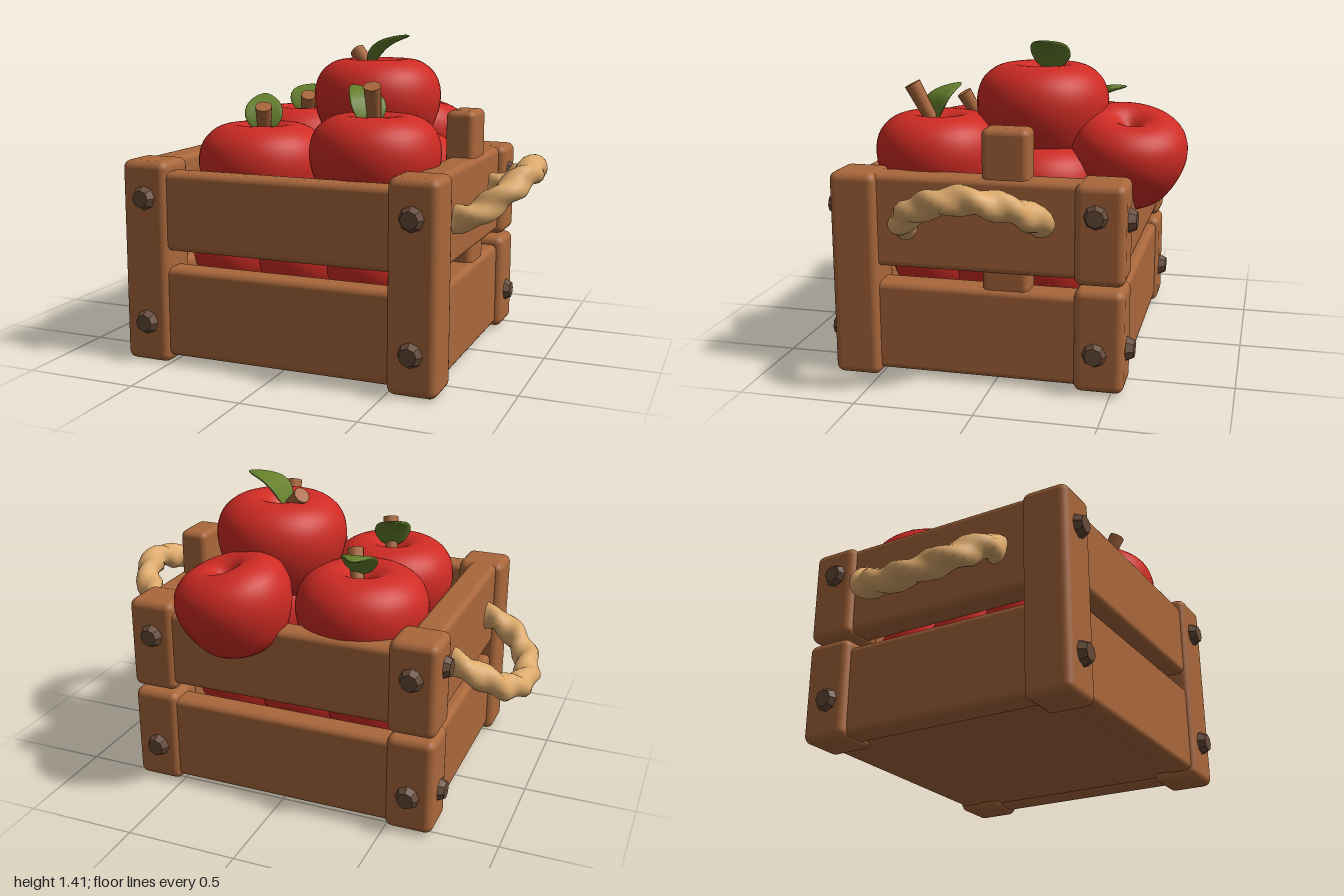
import * as THREE from 'three';
import { RoundedBoxGeometry } from 'three/addons/geometries/RoundedBoxGeometry.js';
import { mergeVertices } from 'three/addons/utils/BufferGeometryUtils.js';

const V = (a) => new THREE.Vector3(...a);
const material = (name, color) => {
  const m = new THREE.MeshStandardMaterial({ color });
  m.name = name;
  return m;
};

export function createModel() {
  const wood = material('wood', 0xa9673b);
  const red = material('apple red', 0xcf2b24);
  const green = material('leaf green', 0x657f2c);
  const hemp = material('rope tan', 0xdca96b);
  const iron = material('bolt brown', 0x664a38);

  const model = new THREE.Group();
  model.name = 'appleCrate';
  const add = (name, geometry, mat, parent = model) => {
    const mesh = new THREE.Mesh(geometry, mat);
    mesh.name = name;
    parent.add(mesh);
    return mesh;
  };

  // Rounded wooden block given by its limits on each axis
  const block = (name, x0, x1, y0, y1, z0, z1, r = 0.028) => {
    const g = new RoundedBoxGeometry(x1 - x0, y1 - y0, z1 - z0, 3, r);
    g.translate((x0 + x1) / 2, (y0 + y1) / 2, (z0 + z1) / 2);
    return add(name, g, wood);
  };

  // Faceted bolt head pointing along a direction
  const boltShape = new THREE.CylinderGeometry(0.038, 0.06, 0.045, 8).toNonIndexed();
  boltShape.computeVertexNormals();
  const bolt = (x, y, z, dir) => {
    const m = add('bolt', boltShape, iron);
    m.position.set(x, y, z);
    m.quaternion.setFromUnitVectors(V([0, 1, 0]), V(dir));
  };

  // Corner posts: whole at the front, split in two at the back
  for (const s of [-1, 1]) {
    const [a, b] = s < 0 ? [-0.715, -0.5] : [0.5, 0.715];
    block('frontPost', a, b, 0, 0.89, 0.495, 0.7, 0.035);
    block('backPostLower', a, b, 0.01, 0.452, -0.555, -0.345, 0.035);
    block('backPostUpper', a, b, 0.468, 0.89, -0.555, -0.345, 0.035);
    for (const y of [0.18, 0.73]) {
      bolt(s * 0.605, y, 0.71, [0, 0, 1]);
      bolt(s * 0.605, y, -0.565, [0, 0, -1]);
      bolt(s * 0.72, y === 0.18 ? y : 0.76, -0.435, [s, 0, 0]);
    }
    // Side boards
    const [c, d] = s < 0 ? [-0.685, -0.55] : [0.55, 0.685];
    block('sideBoardLower', c, d, 0.025, 0.415, -0.5, 0.65);
    block('sideBoardUpper', c, d, 0.485, 0.885, -0.5, 0.65);
  }

  // Front and back boards, floor and the upright batten
  for (const [name, z0, z1] of [['front', 0.56, 0.68], ['back', -0.54, -0.42]]) {
    block(name + 'BoardLower', -0.64, 0.64, 0.03, 0.425, z0, z1);
    block(name + 'BoardUpper', -0.64, 0.64, 0.5, 0.845, z0, z1);
  }
  block('floor', -0.62, 0.62, 0.035, 0.11, -0.48, 0.62, 0.02);
  block('batten', 0.54, 0.67, 0.1, 1.09, -0.15, 0.05);

  // Apple body turned from a smooth profile of unit radius
  const profile = new THREE.SplineCurve([
    [0, -0.78], [0.3, -0.86], [0.68, -0.66], [0.92, -0.24], [1, 0.14], [0.92, 0.46],
    [0.7, 0.66], [0.43, 0.71], [0.22, 0.62], [0.08, 0.48], [0, 0.44],
  ].map((p) => new THREE.Vector2(...p))).getPoints(36);
  profile[0].x = profile[36].x = 0;
  const appleShape = new THREE.LatheGeometry(profile.map((p) => new THREE.Vector2(Math.max(0, p.x), p.y)), 40);

  const apple = (name, x, y, z, r, tilt = [0, 0]) => {
    const m = add(name, appleShape, red);
    m.position.set(x, y, z);
    m.scale.setScalar(r);
    m.rotation.set(tilt[0], 0, tilt[1]);
  };

  // Stem that widens toward its tip
  const stem = (base, tip) => {
    const a = V(base), b = V(tip), d = b.clone().sub(a);
    const m = add('stem', new THREE.CylinderGeometry(0.037, 0.027, d.length(), 12), wood);
    m.position.copy(a).add(b).multiplyScalar(0.5);
    m.quaternion.setFromUnitVectors(V([0, 1, 0]), d.normalize());
  };

  // Leaf: flattened ball, pointed at the tip, arched and cupped
  const leaf = (base, tip, width) => {
    const a = V(base), along = V(tip).sub(a), len = along.length();
    const g = new THREE.SphereGeometry(1, 24, 16);
    const p = g.attributes.position;
    for (let i = 0; i < p.count; i++) {
      const t = (p.getX(i) + 1) / 2;
      const w = p.getZ(i) * (1.25 - 0.75 * t);
      const arch = 0.035 * Math.sin(Math.PI * t) + 0.02 * w * w;
      p.setXYZ(i, t * len, p.getY(i) * 0.016 + arch, w * width / 2);
    }
    g.computeVertexNormals();
    const m = add('leaf', g, green);
    const ax = along.normalize();
    const side = new THREE.Vector3().crossVectors(ax, V([0, 1, 0])).normalize();
    const up = new THREE.Vector3().crossVectors(side, ax);
    m.matrix.makeBasis(ax, up, side).setPosition(a);
    m.matrix.decompose(m.position, m.quaternion, m.scale);
  };

  // Apples on top: body, stem and leaf
  apple('topApple', 0.167, 1.095, -0.1, 0.293);
  stem([0.16, 1.22, -0.11], [0.04, 1.335, -0.165]);
  leaf([0.12, 1.27, -0.13], [0.31, 1.41, -0.13], 0.19);

  apple('frontLeftApple', -0.23, 0.82, 0.293, 0.29);
  stem([-0.23, 0.94, 0.28], [-0.19, 1.11, 0.37]);
  leaf([-0.22, 0.99, 0.31], [-0.28, 1.15, 0.17], 0.18);

  apple('frontRightApple', 0.317, 0.89, 0.33, 0.283);
  stem([0.32, 1.01, 0.34], [0.345, 1.22, 0.445]);
  leaf([0.31, 1.05, 0.37], [0.19, 1.21, 0.27], 0.18);

  apple('backLeftApple', -0.272, 0.85, -0.235, 0.293);
  stem([-0.26, 0.97, -0.25], [-0.21, 1.12, -0.16]);
  leaf([-0.26, 1.03, -0.22], [-0.29, 1.15, -0.41], 0.17);

  apple('backRightApple', 0.215, 0.92, -0.487, 0.257, [-0.12, -0.25]);
  apple('rightApple', 0.27, 0.77, -0.12, 0.275);

  // Hidden lower layer seen through the gaps
  for (const x of [-0.32, 0, 0.32])
    for (const z of [-0.2, 0.07, 0.33]) apple('lowerApple', x, 0.43, z, 0.225);

  // Twisted rope: tube with strand grooves that wind along it
  const rope = (name, points) => {
    const path = new THREE.CatmullRomCurve3(points.map(V));
    const n = 160, k = 16;
    const g = new THREE.TubeGeometry(path, n, 0.056, k);
    const p = g.attributes.position, v = new THREE.Vector3();
    for (let i = 0; i <= n; i++) {
      const c = path.getPointAt(i / n);
      for (let j = 0; j <= k; j++) {
        const id = i * (k + 1) + j;
        const f = 1 + 0.14 * Math.cos(2 * (j / k) * Math.PI * 2 + (i / n) * Math.PI * 14);
        v.fromBufferAttribute(p, id).sub(c).multiplyScalar(f).add(c);
        p.setXYZ(id, v.x, v.y, v.z);
      }
    }
    g.deleteAttribute('uv');
    g.deleteAttribute('normal');
    const merged = mergeVertices(g, 1e-5);
    merged.computeVertexNormals();
    add(name, merged, hemp);
  };
  rope('raisedHandle', [[0.62, 0.67, 0.37], [0.75, 0.69, 0.36], [0.88, 0.79, 0.27],
    [0.935, 0.855, 0.08], [0.88, 0.82, -0.11], [0.77, 0.75, -0.21], [0.62, 0.7, -0.2]]);
  rope('hangingHandle', [[-0.62, 0.69, 0.37], [-0.76, 0.66, 0.36], [-0.89, 0.57, 0.28],
    [-0.945, 0.52, 0.08], [-0.89, 0.56, -0.12], [-0.77, 0.65, -0.21], [-0.62, 0.7, -0.2]]);

  return model;
}
